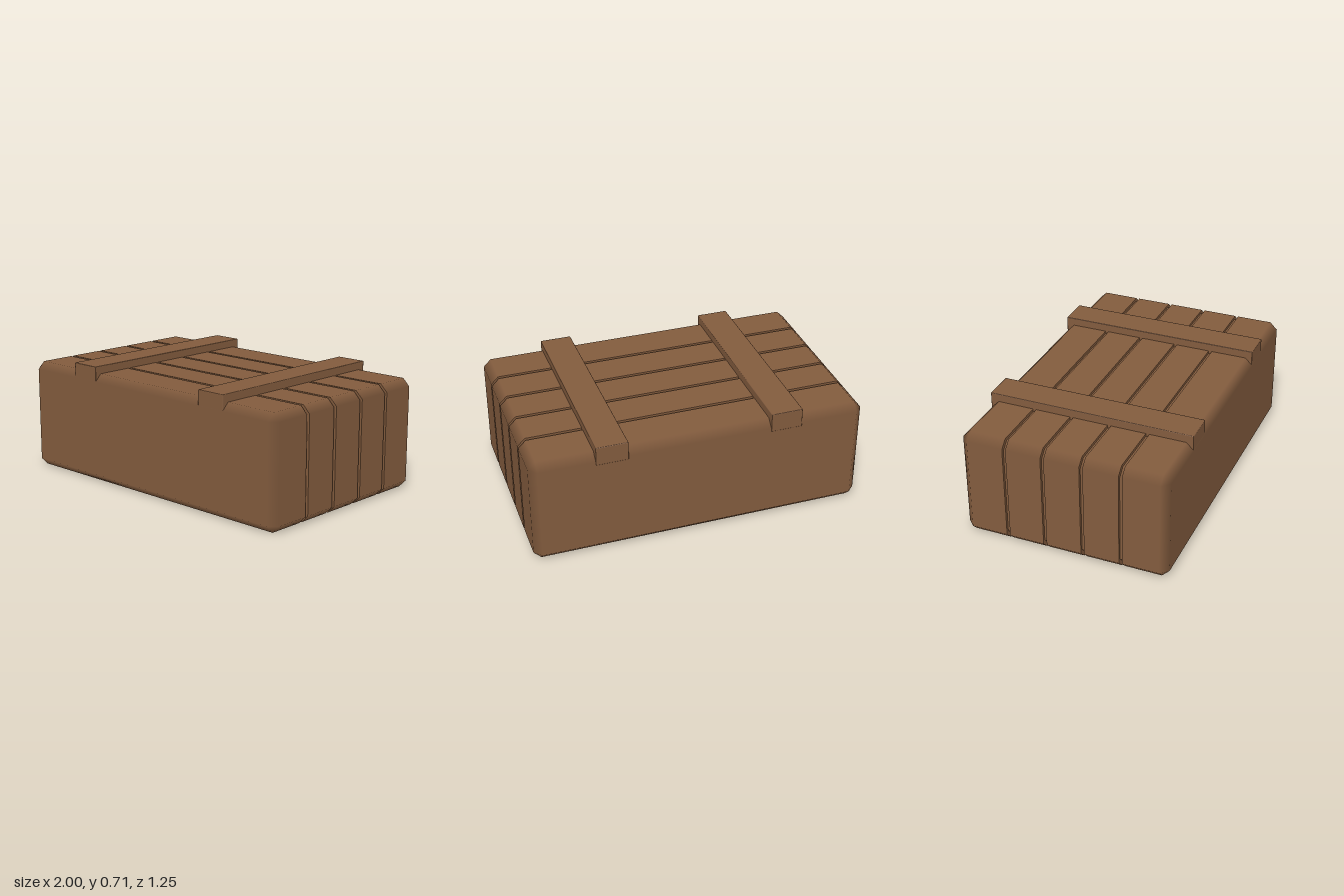
import * as THREE from 'three';
import { RoundedBoxGeometry } from 'three/addons/geometries/RoundedBoxGeometry.js';

const W = 1, H = 0.667, BEVEL = 0.045;
const FRONT = 0.624, BACK = -0.62;

// Chamfered rectangle at depth z, each corner point carrying its face's normal.
// inset shrinks the outline, c is the chamfer size (0 gives a plain rectangle).
function ring(z, inset, c, nz = 0) {
  const x = W - inset, y0 = inset, y1 = H - inset;
  const pts = [
    [x, y0 + c, 1, 0], [x, y1 - c, 1, 0], [x - c, y1, 0, 1], [-x + c, y1, 0, 1],
    [-x, y1 - c, -1, 0], [-x, y0 + c, -1, 0], [-x + c, y0, 0, -1], [x - c, y0, 0, -1],
  ];
  return pts.map(([px, py, nx, ny]) => ({ p: [px, py, z], n: nz ? [0, 0, nz] : [nx, ny, 0] }));
}

// Skin a list of rings ordered back to front, with flat caps at both ends.
function loft(rings) {
  const pos = [], nor = [];
  const tri = (...vs) => vs.forEach((v) => { pos.push(...v.p); nor.push(...v.n); });
  for (let r = 0; r + 1 < rings.length; r++) {
    const a = rings[r], b = rings[r + 1];
    for (let i = 0; i < 8; i++) {
      const j = (i + 1) % 8;
      tri(a[i], a[j], b[j]);
      tri(a[i], b[j], b[i]);
    }
  }
  const cap = (rg, nz) => {
    const v = rg.map(({ p }) => ({ p, n: [0, 0, nz] }));
    for (let i = 1; i < 7; i++) nz > 0 ? tri(v[0], v[i], v[i + 1]) : tri(v[0], v[i + 1], v[i]);
  };
  cap(rings[0], -1);
  cap(rings[rings.length - 1], 1);
  const g = new THREE.BufferGeometry();
  g.setAttribute('position', new THREE.Float32BufferAttribute(pos, 3));
  g.setAttribute('normal', new THREE.Float32BufferAttribute(nor, 3));
  return g;
}

export function createModel() {
  const group = new THREE.Group();
  group.name = 'crate';
  const wood = new THREE.MeshStandardMaterial({ color: 0x835c3e });
  wood.name = 'brown wood';
  const add = (name, geometry) => {
    const mesh = new THREE.Mesh(geometry, wood);
    mesh.name = name;
    group.add(mesh);
    return mesh;
  };

  // Five planks separated by narrow grooves; the outer two have bevelled ends
  const grooves = [-0.345, -0.113, 0.119, 0.35], half = 0.01;
  for (let i = 0; i < 5; i++) {
    const rings = [];
    if (i === 0) {
      rings.push(ring(BACK, BEVEL, 0, -1), ring(BACK + BEVEL, 0, BEVEL));
    } else rings.push(ring(grooves[i - 1] + half, 0, BEVEL));
    if (i === 4) {
      rings.push(ring(FRONT - BEVEL, 0, BEVEL), ring(FRONT, BEVEL, 0, 1));
    } else rings.push(ring(grooves[i] - half, 0, BEVEL));
    add(`plank${i + 1}`, loft(rings));
  }

  // Recessed core forming the groove floors
  add('grooveCore', loft([ring(-0.4, 0.017, BEVEL), ring(0.4, 0.017, BEVEL)]));

  // Two battens across the lid
  for (const [name, x] of [['rightBatten', -0.513], ['leftBatten', 0.53]]) {
    add(name, new RoundedBoxGeometry(0.19, 0.115, 1.245, 1, 0.005)).position.set(x, 0.6575, -0.0025);
  }
  return group;
}
